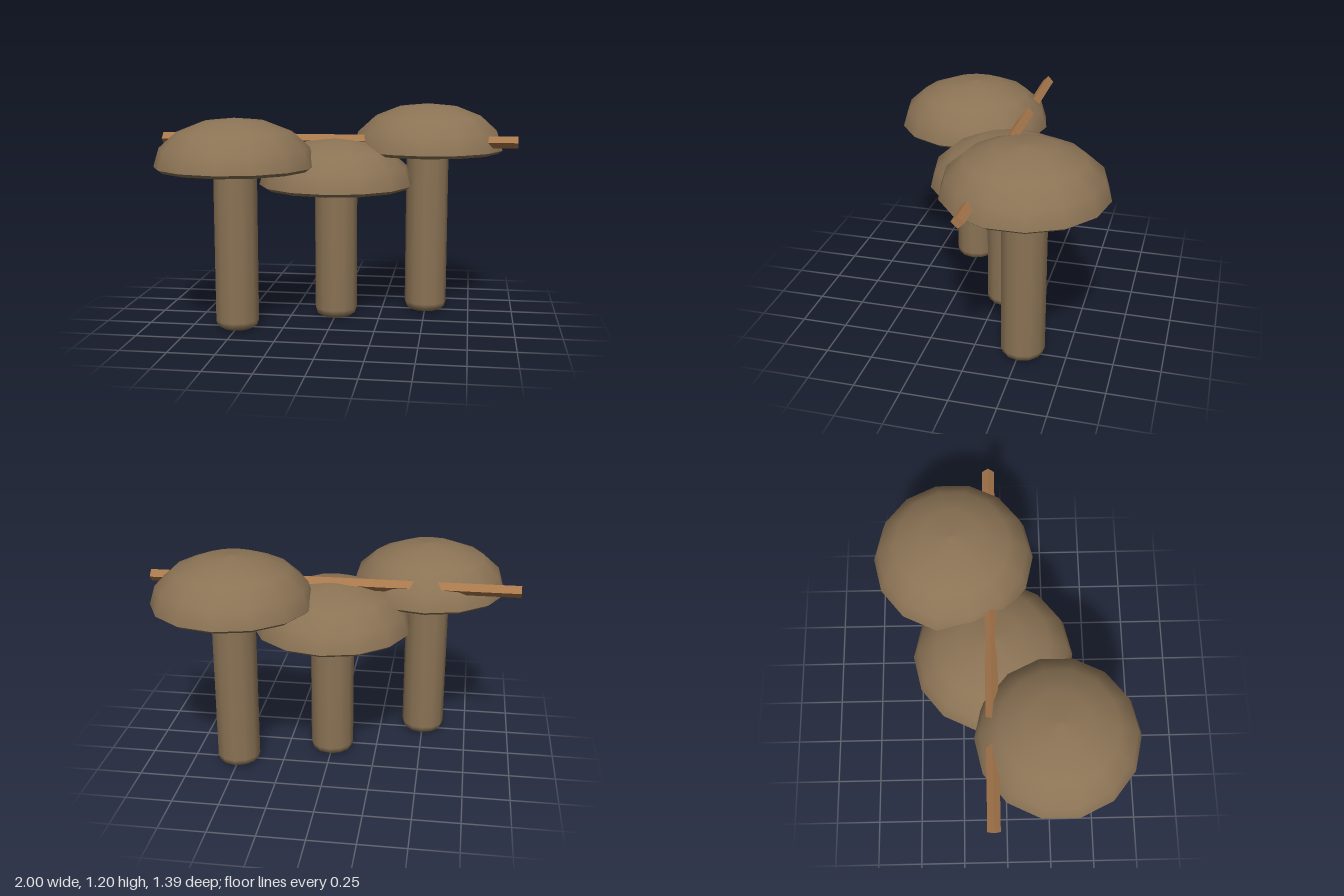
import * as THREE from 'three';

const brown = new THREE.MeshStandardMaterial({ name: 'mushroom brown', color: 0x8b7355 });
const wood = new THREE.MeshStandardMaterial({ name: 'branch wood', color: 0xa8784c });

// Solid of revolution from [radius, height] pairs, listed bottom to top
function lathe(name, profile, sides) {
  const points = profile.map(([r, y]) => new THREE.Vector2(r, y));
  const mesh = new THREE.Mesh(new THREE.LatheGeometry(points, sides), brown);
  mesh.name = name;
  return mesh;
}

// One mushroom: rounded stem, domed cap, bevelled rim and flat underside
function mushroom(name, x, z, top) {
  const group = new THREE.Group();
  group.name = name;
  group.position.set(x, 0, z);

  const base = top - 0.273;
  group.add(lathe('stem', [
    [0, 0], [0.085, 0.003], [0.11, 0.018], [0.12, 0.05],
    [0.12, base - 0.03], [0.113, base - 0.005], [0.1, base + 0.01], [0, base + 0.015],
  ], 12));

  const cap = new THREE.Group();
  cap.name = 'cap';
  cap.position.y = top;
  cap.add(
    lathe('capDome', [[0.43, -0.255], [0.4, -0.157], [0.305, -0.072], [0.165, -0.017], [0, 0]], 14),
    lathe('capRim', [[0.405, -0.273], [0.43, -0.255]], 14),
    lathe('capUnderside', [[0, -0.273], [0.405, -0.273]], 14),
  );
  group.add(cap);
  return group;
}

export function createModel() {
  const model = new THREE.Group();
  model.name = 'mushroomCluster';

  model.add(
    mushroom('rightMushroom', -0.5, 0.265, 1.147),
    mushroom('middleMushroom', 0, -0.06, 1.015),
    mushroom('leftMushroom', 0.5, -0.265, 1.2),
  );

  // Four-sided rod, edge up, running through the caps
  const geometry = new THREE.CylinderGeometry(0.033, 0.033, 2, 4).toNonIndexed();
  geometry.computeVertexNormals();
  const rod = new THREE.Mesh(geometry, wood);
  rod.name = 'rod';
  rod.rotation.z = Math.PI / 2;
  rod.position.set(0, 1.002, -0.07);
  model.add(rod);

  return model;
}
